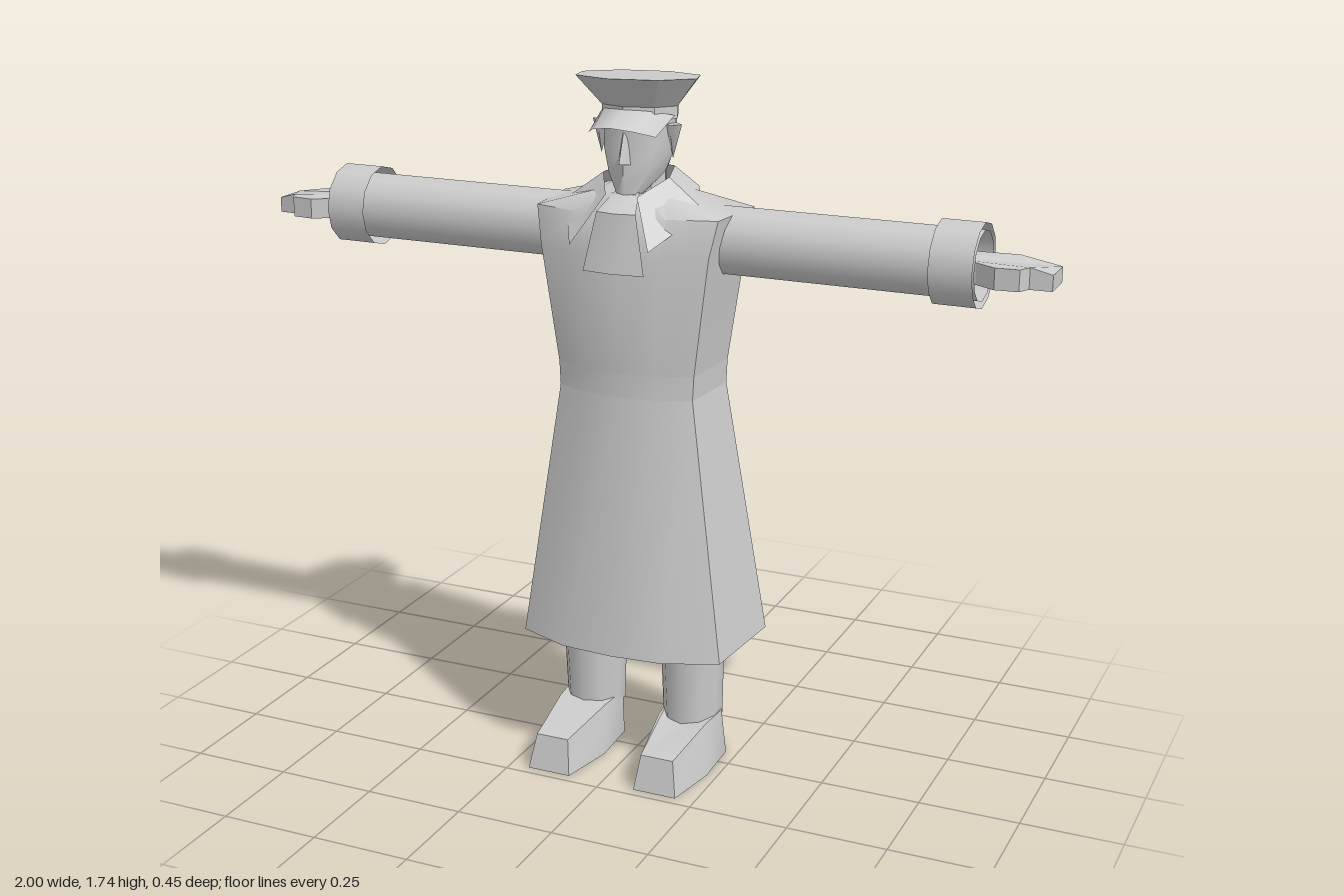
import * as THREE from 'three';
import { toCreasedNormals } from 'three/addons/utils/BufferGeometryUtils.js';

const grey = new THREE.MeshStandardMaterial({ color: 0xcccccc, side: THREE.DoubleSide });
grey.name = 'plain grey';

function add(parent, name, geometry) {
  const mesh = new THREE.Mesh(geometry, grey);
  mesh.name = name;
  parent.add(mesh);
  return mesh;
}

// Join rings of [x, y, z] points, listed upwards and counter-clockwise from above
function loft(rings, { bottom = true, top = true, closed = true, crease = 0.7 } = {}) {
  const n = rings[0].length, pos = [];
  const tri = (a, b, c) => pos.push(...a, ...b, ...c);
  for (let r = 0; r < rings.length - 1; r++) {
    const lo = rings[r], hi = rings[r + 1];
    for (let i = 0; i < (closed ? n : n - 1); i++) {
      const j = (i + 1) % n;
      tri(lo[i], lo[j], hi[j]);
      tri(lo[i], hi[j], hi[i]);
    }
  }
  const first = rings[0], last = rings[rings.length - 1];
  for (let i = 1; i < n - 1; i++) {
    if (bottom && closed) tri(first[0], first[i + 1], first[i]);
    if (top && closed) tri(last[0], last[i], last[i + 1]);
  }
  const g = new THREE.BufferGeometry();
  g.setAttribute('position', new THREE.Float32BufferAttribute(pos, 3));
  return toCreasedNormals(g, crease);
}

// Elliptical ring from half width and front/back z, optionally tilted along z
function oval(y, w, zf, zb, n = 8, tilt = 0) {
  return Array.from({ length: n }, (_, i) => {
    const a = (i / n) * Math.PI * 2;
    const z = (zf + zb) / 2 + Math.cos(a) * (zf - zb) / 2;
    return [Math.sin(a) * w, y + tilt * z, z];
  });
}

// Coat cross-section: bowed front, flat sides, shallow pointed back
function coatRing([y, w, zf, zb]) {
  const half = [[0.47 * w, y, 0.94 * zf], [0.93 * w, y, 0.62 * zf], [w, y, 0.7 * zb]];
  return [[0, y, zf], ...half, [0, y, zb], ...half.reverse().map(([x, yy, z]) => [-x, yy, z])];
}

// Repeat a left-hand strip of points on the right, sharing the middle point
const mirrorStrip = pts => [...pts.slice(1).reverse().map(([x, y, z]) => [-x, y, z]), ...pts];

function buildHead() {
  const head = new THREE.Group();
  head.name = 'head';
  add(head, 'neck', loft([oval(1.4, 0.06, 0.04, -0.09), oval(1.53, 0.06, 0.04, -0.09)]));
  add(head, 'face', loft([
    oval(1.45, 0.03, 0.08, 0.02), oval(1.5, 0.068, 0.085, -0.095),
    oval(1.56, 0.09, 0.08, -0.11), oval(1.66, 0.09, 0.08, -0.11),
  ], { crease: 0.9 }));
  add(head, 'nose', loft([
    [[-0.016, 1.525, 0.075], [0, 1.53, 0.108], [0.016, 1.525, 0.075]],
    [[-0.009, 1.6, 0.07], [0, 1.6, 0.082], [0.009, 1.6, 0.07]],
  ]));
  for (const s of [1, -1]) {
    const ear = add(head, s > 0 ? 'leftEar' : 'rightEar', new THREE.ConeGeometry(0.022, 0.08, 4));
    ear.rotation.x = Math.PI;
    ear.position.set(s * 0.092, 1.575, 0.005);
  }
  // Cap band, flared crown and drooping visor
  add(head, 'capBand', loft([oval(1.625, 0.094, 0.085, -0.114), oval(1.66, 0.094, 0.085, -0.114)]));
  add(head, 'capCrown', loft([
    oval(1.655, 0.094, 0.085, -0.114, 8, 0.07), oval(1.722, 0.146, 0.172, -0.185, 8, 0.09),
  ], { crease: 0.4 }));
  add(head, 'capVisor', loft([
    mirrorStrip([[0, 1.622, 0.155], [0.05, 1.615, 0.14], [0.085, 1.597, 0.09]]),
    mirrorStrip([[0, 1.655, 0.083], [0.06, 1.65, 0.06], [0.094, 1.635, 0]]),
  ], { closed: false }));
  return head;
}

function buildCoat() {
  const coat = new THREE.Group();
  coat.name = 'coat';
  const skirt = [[0.32, 0.285, 0.17, -0.223], [0.97, 0.187, 0.115, -0.158]];
  const belt = [skirt[1], [1.03, 0.19, 0.115, -0.156]];
  const chest = [belt[1], [1.32, 0.232, 0.135, -0.165], [1.41, 0.25, 0.108, -0.17], [1.455, 0.09, 0.075, -0.1]];
  const open = { bottom: false, top: false };
  add(coat, 'skirt', loft(skirt.map(coatRing), open));
  add(coat, 'belt', loft(belt.map(coatRing), open));
  add(coat, 'chest', loft(chest.map(coatRing), { bottom: false, top: true }));
  // Wide collar, running from the nape to two pointed front tips
  add(coat, 'collar', loft([
    mirrorStrip([[0, 1.445, -0.165], [0.1, 1.445, -0.135], [0.18, 1.42, 0.02], [0.1, 1.345, 0.168]]),
    mirrorStrip([[0, 1.5, -0.1], [0.06, 1.5, -0.08], [0.085, 1.49, 0.01], [0.04, 1.455, 0.095]]),
  ], { closed: false, crease: 0.5 }));
  // Neckcloth spreading over the chest
  add(coat, 'neckcloth', loft([
    [[-0.078, 1.28, 0.142], [0, 1.28, 0.152], [0.078, 1.28, 0.142]],
    [[-0.05, 1.42, 0.125], [0, 1.42, 0.135], [0.05, 1.42, 0.125]],
    [[-0.03, 1.46, 0.06], [0, 1.46, 0.07], [0.03, 1.46, 0.06]],
  ], { closed: false }));
  return coat;
}

function buildArm(s) {
  const arm = new THREE.Group();
  arm.name = s > 0 ? 'leftArm' : 'rightArm';
  const tube = (name, r, x0, x1, sides) => {
    const t = add(arm, name, new THREE.CylinderGeometry(r, r, x1 - x0, sides, 1, true));
    t.rotation.z = Math.PI / 2;
    t.position.set(s * (x0 + x1) / 2, 1.34, -0.048);
  };
  tube('sleeve', 0.083, 0.2, 0.83, 12);
  tube('cuff', 0.1, 0.728, 0.83, 12);
  // Flat hand with a forward thumb
  const outline = [[0.74, -0.085], [0.9, -0.098], [1, -0.085], [1, 0.005], [0.95, 0.015],
    [0.935, 0.045], [0.88, 0.05], [0.83, 0.02], [0.74, 0]];
  const shape = new THREE.Shape(outline.map(([x, z]) => new THREE.Vector2(s * x, -z)));
  const hand = new THREE.ExtrudeGeometry(shape, { depth: 0.05, bevelEnabled: false });
  hand.rotateX(-Math.PI / 2).translate(0, 1.312, 0);
  // Fingertips droop and thin slightly
  const p = hand.attributes.position;
  for (let i = 0; i < p.count; i++) {
    if (Math.abs(p.getX(i)) > 0.98) p.setY(i, 1.31 + (p.getY(i) - 1.312) * 0.75);
  }
  hand.computeVertexNormals();
  add(arm, 'hand', hand);
  return arm;
}

function buildLeg(s) {
  const leg = new THREE.Group();
  leg.name = s > 0 ? 'leftLeg' : 'rightLeg';
  const side = ring => {
    const r = ring.map(([x, y, z]) => [s * x, y, z]);
    return s > 0 ? r : r.reverse();
  };
  const shift = ring => ring.map(([x, y, z]) => [x + 0.135, y, z]);
  add(leg, 'bootShaft', loft([
    side(shift(oval(0.1, 0.074, 0.037, -0.122, 10))),
    side(shift(oval(0.6, 0.088, 0.072, -0.12, 10))),
  ]));
  const sole = [[0.088, 0.225], [0.2, 0.225], [0.225, 0.08], [0.22, -0.06],
    [0.175, -0.125], [0.105, -0.125], [0.065, -0.06], [0.058, 0.08]];
  const upper = [[0.1, 0.088, 0.205], [0.185, 0.088, 0.205], [0.203, 0.118, 0.035], [0.21, 0.12, -0.05],
    [0.17, 0.12, -0.12], [0.11, 0.12, -0.12], [0.065, 0.12, -0.05], [0.073, 0.118, 0.035]];
  add(leg, 'foot', loft([side(sole.map(([x, z]) => [x, 0, z])), side(upper)]));
  return leg;
}

export function createModel() {
  const model = new THREE.Group();
  model.name = 'coatedFigure';
  model.add(buildHead(), buildCoat());
  for (const s of [1, -1]) model.add(buildArm(s), buildLeg(s));
  return model;
}
